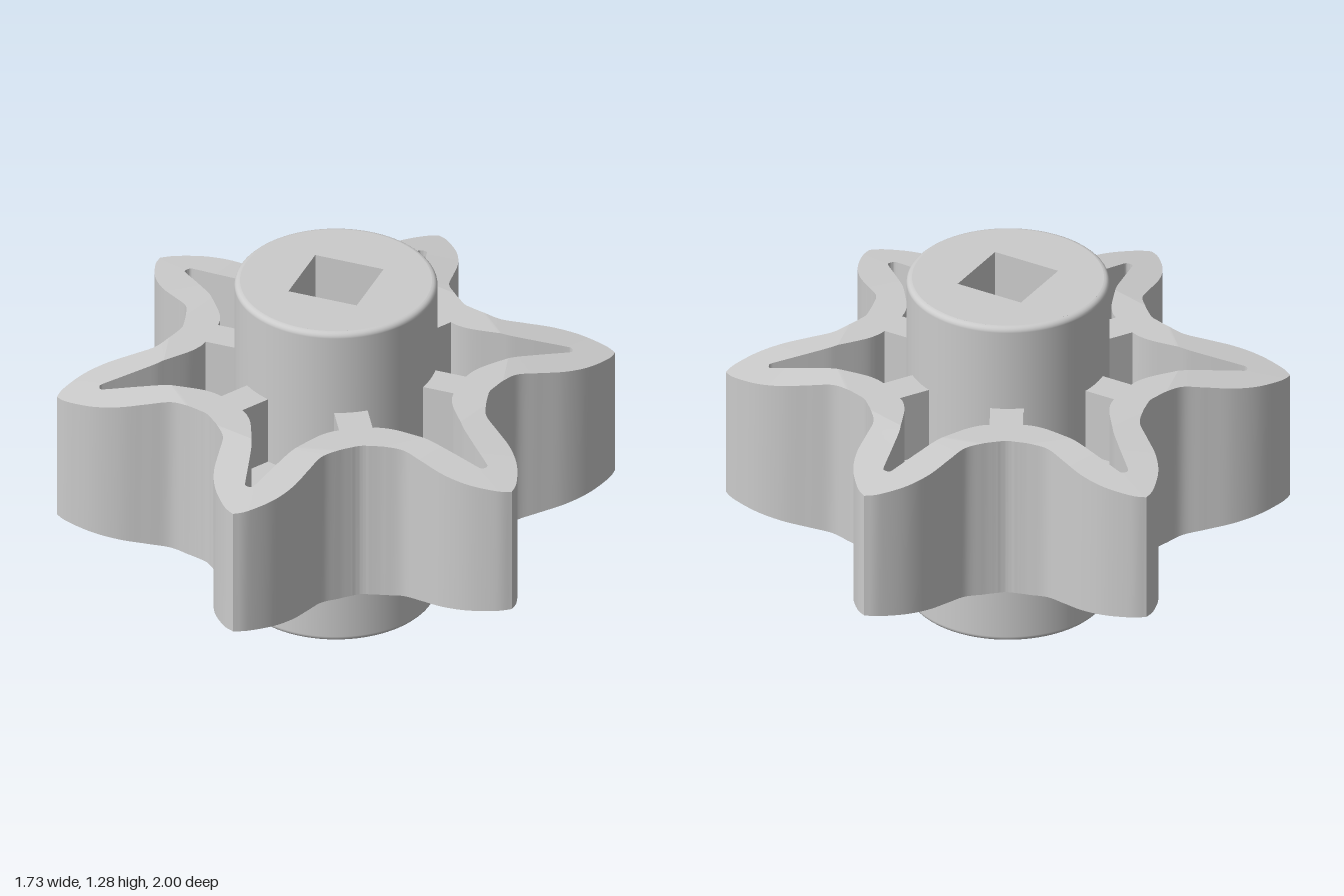
import * as THREE from 'three';
import { toCreasedNormals } from 'three/addons/utils/BufferGeometryUtils.js';

const material = new THREE.MeshStandardMaterial({ color: 0xcccccc });
const TEETH = 6, STEP = Math.PI * 2 / TEETH;
const BOTTOM = 0.335, TOP = 0.955, MID = (BOTTOM + TOP) / 2;
const HEIGHT = 1.285, HUB_R = 0.36, FILLET = 0.02;

// Half a tooth from tip to valley, as [along, across]; both lists are paired.
const OUTER = [[1, 0], [0.97, 0.045], [0.89, 0.11], [0.8, 0.15], [0.7, 0.17], [0.62, 0.187],
  [0.565, 0.23], [0.535, 0.26], [0.526, 0.27], [0.518, 0.278], [0.507, 0.2925]];
const INNER = [[0.848, 0], [0.843, 0.014], [0.82, 0.022], [0.75, 0.04], [0.69, 0.056], [0.64, 0.07],
  [0.604, 0.084], [0.51, 0.125], [0.465, 0.155], [0.44, 0.183], [0.407, 0.235]];

// Mirrors a half tooth across the valley, smooths it and repeats it around the axis.
function closedLoop(half) {
  const polar = half.map(([u, v]) => [Math.hypot(u, v), Math.atan2(v, u)]);
  const mirrored = polar.slice(0, -1).reverse().map(([r, a]) => [r, STEP - a]);
  const at = ([r, a]) => new THREE.Vector2(r * Math.sin(a), r * Math.cos(a));
  const curve = new THREE.SplineCurve([...polar, ...mirrored].map(at));
  const samples = curve.getPoints((polar.length + mirrored.length - 1) * 6).slice(0, -1);
  const loop = [];
  for (let k = 0; k < TEETH; k++) {
    for (const p of samples) loop.push(p.clone().rotateAround(new THREE.Vector2(), -k * STEP));
  }
  return loop;
}

// Toothed wall: a four-cornered section swept round, its faces sloping towards the tips.
function wallGeometry(outer, inner) {
  const positions = [], index = [];
  const drop = p => Math.max(0, p.length() - 0.61) * 0.065 / 0.39;
  outer.forEach((o, k) => {
    const p = inner[k];
    positions.push(p.x, BOTTOM + drop(p), p.y, o.x, BOTTOM + drop(o), o.y,
      o.x, TOP - drop(o), o.y, p.x, TOP - drop(p), p.y);
    const a = k * 4, b = ((k + 1) % outer.length) * 4;
    for (let j = 0; j < 4; j++) {
      const n = (j + 1) % 4;
      index.push(a + j, b + j, b + n, a + j, b + n, a + n);
    }
  });
  const geometry = new THREE.BufferGeometry();
  geometry.setAttribute('position', new THREE.Float32BufferAttribute(positions, 3));
  geometry.setIndex(index);
  return toCreasedNormals(geometry, 0.16);
}

// Extrudes a plan shape upwards from y0 to y1.
function upright(shape, y0, y1) {
  const geometry = new THREE.ExtrudeGeometry(shape, { depth: y1 - y0, bevelEnabled: false, curveSegments: 64 });
  return geometry.rotateX(-Math.PI / 2).translate(0, y0, 0);
}

export function createModel() {
  const model = new THREE.Group();
  const add = (name, geometry) => {
    const mesh = new THREE.Mesh(geometry, material);
    mesh.name = name;
    model.add(mesh);
    return mesh;
  };

  // Toothed rim
  const outer = closedLoop(OUTER), inner = closedLoop(INNER);
  add('toothedRim', wallGeometry(outer, inner));

  // Thin floor between the upper and lower pockets
  const web = new THREE.Shape(inner.map(p => new THREE.Vector2(p.x, -p.y)));
  web.holes.push(new THREE.Path().absarc(0, 0, 0.3, 0, Math.PI * 2));
  add('pocketFloor', upright(web, MID - 0.05, MID + 0.05));

  // Spokes joining the hub to each valley
  for (let k = 0; k < TEETH; k++) {
    const geometry = new THREE.BoxGeometry(0.12, TOP - BOTTOM, 0.19).translate(0, MID, 0.395);
    add('spoke', geometry).rotation.y = (k + 0.5) * STEP;
  }

  // Hub core with the square shaft hole
  const core = new THREE.Shape().absarc(0, 0, HUB_R - FILLET, 0, Math.PI * 2);
  const s = 0.13;
  core.holes.push(new THREE.Path([[-s, -s], [-s, s], [s, s], [s, -s]].map(c => new THREE.Vector2(...c))));
  add('hubCore', upright(core, 0, HEIGHT));

  // Hub skin with rounded rims
  const profile = [];
  for (const [y, start] of [[FILLET, -Math.PI / 2], [HEIGHT - FILLET, 0]]) {
    for (let i = 0; i <= 5; i++) {
      const a = start + i * Math.PI / 10;
      profile.push(new THREE.Vector2(HUB_R - FILLET + FILLET * Math.cos(a), y + FILLET * Math.sin(a)));
    }
  }
  add('hubSkin', new THREE.LatheGeometry(profile, 96));

  return model;
}
